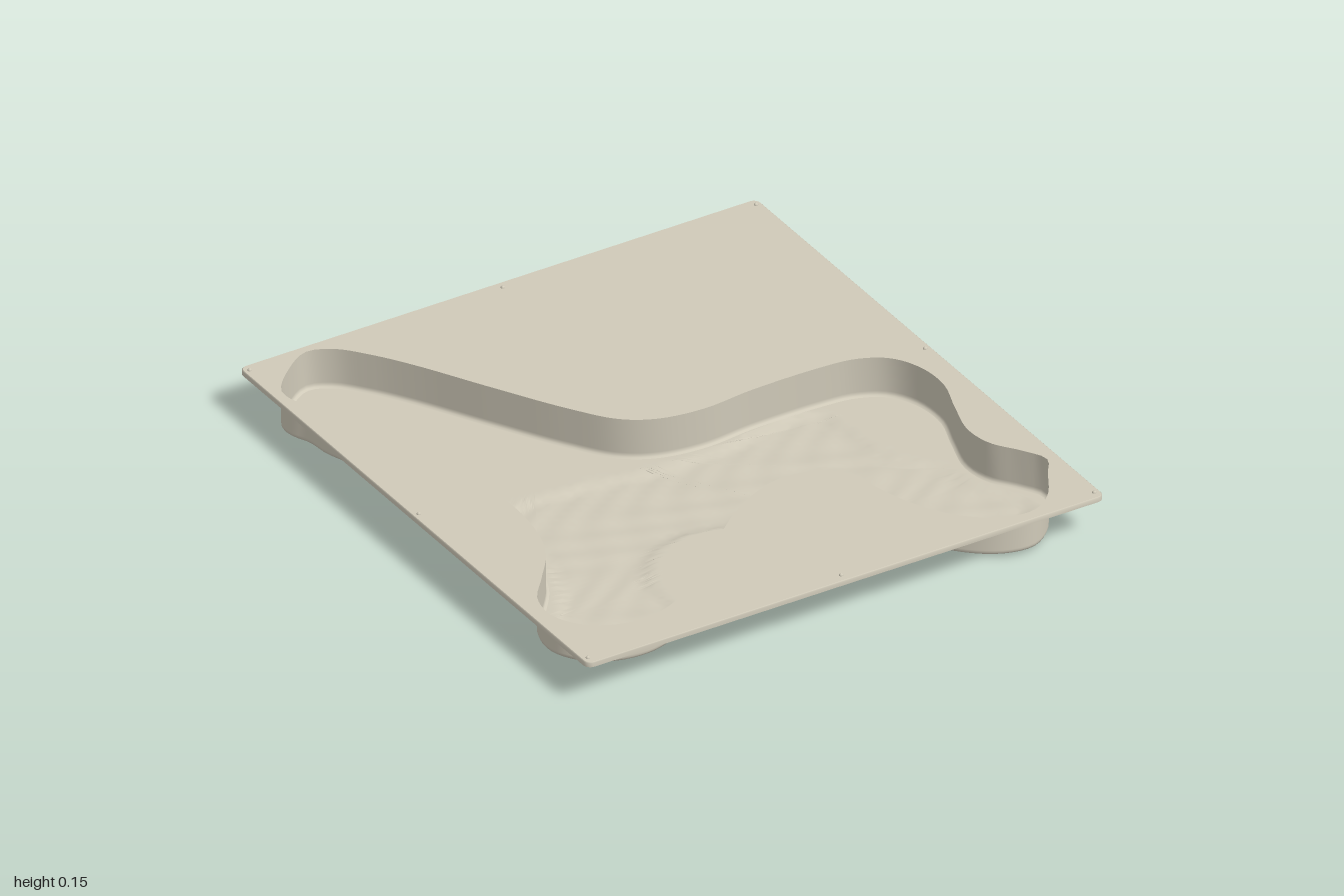
import * as THREE from 'three';
import { mergeVertices } from 'three/addons/utils/BufferGeometryUtils.js';

const TOP = 0.148, FLOOR = 0.014, DEPTH = 0.009;
const vec = ([x, z]) => new THREE.Vector2(x, z);

// Basin outline as [x, z]
const OUTLINE = [
  [-0.70, -0.97], [-0.80, -0.91], [-0.88, -0.82], [-0.88, -0.76], [-0.855, -0.70], [-0.845, -0.62],
  [-0.80, -0.50], [-0.73, -0.33], [-0.67, -0.15], [-0.635, 0.05], [-0.645, 0.25], [-0.69, 0.39],
  [-0.78, 0.51], [-0.85, 0.60], [-0.865, 0.70], [-0.82, 0.79], [-0.73, 0.85], [-0.61, 0.865],
  [-0.48, 0.82], [-0.35, 0.72], [-0.20, 0.59], [-0.03, 0.46], [0.14, 0.40], [0.27, 0.43],
  [0.335, 0.50], [0.36, 0.61], [0.40, 0.73], [0.47, 0.85], [0.58, 0.94], [0.69, 0.96],
  [0.77, 0.91], [0.84, 0.80], [0.88, 0.73], [0.84, 0.65], [0.78, 0.56], [0.765, 0.46],
  [0.80, 0.33], [0.84, 0.20], [0.83, 0.08], [0.78, -0.01], [0.69, -0.06], [0.57, -0.075],
  [0.33, -0.075], [0.15, -0.06], [0, -0.085], [-0.10, -0.145], [-0.20, -0.28], [-0.33, -0.50],
  [-0.46, -0.73], [-0.54, -0.85], [-0.62, -0.94],
];

// Edge of the shallow sunken relief in the basin floor
const RELIEF = [
  [-0.61, -0.05], [-0.30, -0.07], [-0.05, -0.03], [0.15, -0.03], [0.55, -0.05], [0.58, 0.10],
  [0.61, 0.30], [0.71, 0.42], [0.74, 0.57], [0.83, 0.73], [0.75, 0.82], [0.55, 0.83],
  [0.43, 0.72], [0.35, 0.55], [0.28, 0.41], [0.14, 0.38], [0, 0.38], [-0.15, 0.35],
  [-0.28, 0.38], [-0.38, 0.50], [-0.42, 0.72], [-0.60, 0.82], [-0.78, 0.75], [-0.83, 0.68],
  [-0.67, 0.42], [-0.62, 0.25], [-0.61, 0.05],
];

function smoothLoop(points, count) {
  const curve = new THREE.CatmullRomCurve3(points.map(([x, z]) => new THREE.Vector3(x, 0, z)), true);
  return curve.getSpacedPoints(count).slice(0, count).map((p) => new THREE.Vector2(p.x, p.z));
}

// Move a loop inwards along its own normals
function inset(loop, d) {
  const n = loop.length;
  return loop.map((p, i) => {
    const t = loop[(i + 1) % n].clone().sub(loop[(i + n - 1) % n]).normalize();
    return new THREE.Vector2(p.x + t.y * d, p.y - t.x * d);
  });
}

// Smooth band through closed rings, each { loop, y }
function band(rings) {
  const n = rings[0].loop.length, pos = [], idx = [];
  rings.forEach(({ loop, y }) => loop.forEach((p) => pos.push(p.x, y, p.y)));
  for (let r = 0; r < rings.length - 1; r++) {
    for (let i = 0; i < n; i++) {
      const a = r * n + i, b = r * n + (i + 1) % n;
      idx.push(a, b, a + n, b, b + n, a + n);
    }
  }
  const g = new THREE.BufferGeometry();
  g.setAttribute('position', new THREE.Float32BufferAttribute(pos, 3));
  g.setIndex(idx);
  g.computeVertexNormals();
  return g;
}

// Height of the floor: a soft step down into a faintly rippled relief
const reliefLoop = smoothLoop(RELIEF, 150);
function floorHeight(x, z) {
  let inside = false, near = Infinity;
  reliefLoop.forEach((a, i) => {
    const b = reliefLoop[(i + 1) % reliefLoop.length];
    near = Math.min(near, Math.hypot(x - a.x, z - a.y));
    if ((a.y > z) !== (b.y > z) && x < a.x + (b.x - a.x) * (z - a.y) / (b.y - a.y)) inside = !inside;
  });
  if (!inside) return FLOOR;
  const ripple = 0.0012 * Math.sin(x * 31 + 2 * Math.sin(z * 13)) * Math.sin(z * 37 + x * 9);
  return FLOOR - (DEPTH + ripple) * THREE.MathUtils.smoothstep(near, 0, 0.04)
    - ripple * THREE.MathUtils.smoothstep(near, 0.02, 0.07);
}

// Fill a loop, halving the longest edges until they are short, then apply the height
function floorGeometry(loop, limit) {
  const pos = [];
  const split = (a, b, c) => {
    const ab = a.distanceTo(b), bc = b.distanceTo(c), ca = c.distanceTo(a);
    const longest = Math.max(ab, bc, ca);
    if (longest <= limit) {
      [a, b, c].forEach((p) => pos.push(p.x, floorHeight(p.x, p.y), p.y));
    } else if (longest === ab) {
      const m = a.clone().add(b).multiplyScalar(0.5);
      split(a, m, c); split(m, b, c);
    } else if (longest === bc) split(b, c, a);
    else split(c, a, b);
  };
  THREE.ShapeUtils.triangulateShape(loop, []).forEach((f) => {
    const [a, b, c] = f.map((i) => loop[i]);
    const up = (b.x - a.x) * (c.y - a.y) - (b.y - a.y) * (c.x - a.x) < 0;
    if (up) split(a, b, c); else split(a, c, b);
  });
  const g = new THREE.BufferGeometry();
  g.setAttribute('position', new THREE.Float32BufferAttribute(pos, 3));
  const merged = mergeVertices(g, 1e-5);
  merged.computeVertexNormals();
  return merged;
}

function roundedRect(w, d, r) {
  const loop = [];
  [[1, 1], [-1, 1], [-1, -1], [1, -1]].forEach(([sx, sz], q) => {
    for (let i = 0; i <= 6; i++) {
      const a = (q + i / 6) * Math.PI / 2;
      loop.push(vec([sx * (w - r) + r * Math.cos(a), sz * (d - r) + r * Math.sin(a)]));
    }
  });
  return loop;
}

export function createModel() {
  const model = new THREE.Group();
  model.name = 'basinTray';
  const clay = new THREE.MeshStandardMaterial({ color: 0xd0cab9, side: THREE.DoubleSide });
  clay.name = 'warm grey';
  const add = (name, geometry) => {
    const mesh = new THREE.Mesh(geometry, clay);
    mesh.name = name;
    model.add(mesh);
    return mesh;
  };

  // Flat top sheet with the basin opening
  const outline = smoothLoop(OUTLINE, 260);
  const flip = (loop) => loop.map((p) => new THREE.Vector2(p.x, -p.y));
  const sheet = new THREE.Shape(flip(roundedRect(0.917, 0.997, 0.022)));
  sheet.holes.push(new THREE.Path(flip(outline)));
  add('topSheet', new THREE.ShapeGeometry(sheet).rotateX(-Math.PI / 2).translate(0, TOP, 0));

  // Turned-down rim round the sheet
  add('rim', band([
    { loop: roundedRect(0.917, 0.997, 0.022), y: TOP },
    { loop: roundedRect(0.92, 1, 0.025), y: TOP - 0.003 },
    { loop: roundedRect(0.92, 1, 0.025), y: 0.131 },
  ]));

  // Basin wall with a small fillet at its foot
  const foot = inset(outline, 0.01);
  add('basinWall', band([
    { loop: outline, y: TOP },
    { loop: outline, y: 0.03 },
    { loop: outline, y: 0.024 },
    { loop: inset(outline, 0.003), y: 0.017 },
    { loop: foot, y: FLOOR },
  ]));
  add('basinFloor', floorGeometry(foot, 0.034));

  // Tiny locating pips at the corners and edge middles
  const pip = new THREE.SphereGeometry(0.007, 10, 5, 0, Math.PI * 2, 0, Math.PI / 2);
  for (const x of [-0.9, 0, 0.9]) {
    for (const z of [-0.97, 0, 0.97]) {
      if (x || z) add('pip', pip).position.set(x, TOP, z);
    }
  }
  return model;
}
